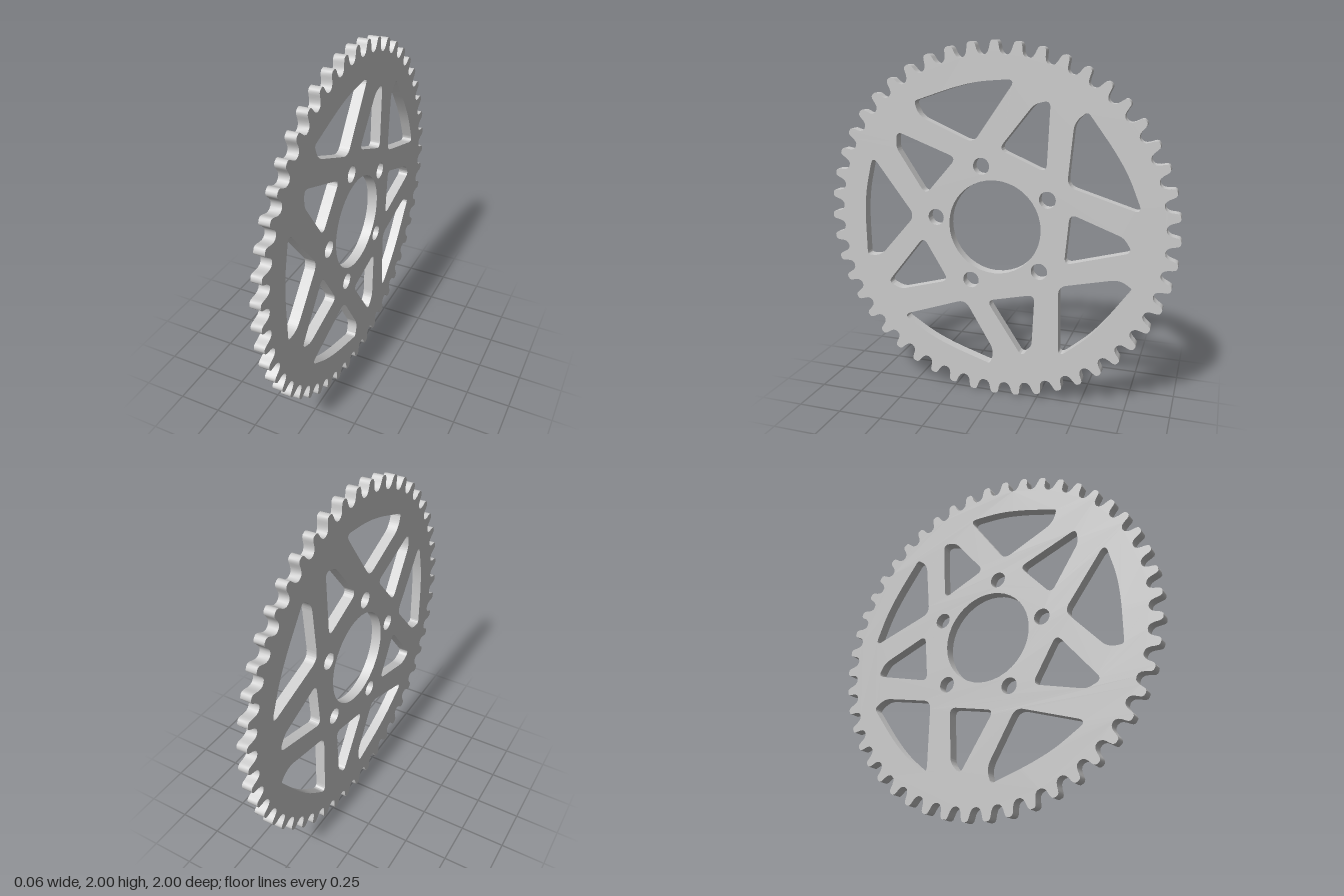
import * as THREE from 'three';
import { toCreasedNormals } from 'three/addons/utils/BufferGeometryUtils.js';

const THICKNESS = 0.058;
const TEETH = 48;
const ARMS = 5;

// Closed path through [x, y, cut] corners, each rounded off by its cut distance
function roundedPath(corners, angle) {
  const pts = corners.map(([x, y]) => new THREE.Vector2(x, y).rotateAround(new THREE.Vector2(), angle));
  const n = pts.length;
  const path = new THREE.Path();
  for (let i = 0; i < n; i++) {
    const p = pts[i], cut = corners[i][2];
    const toward = (q) => p.clone().add(q.clone().sub(p).setLength(cut));
    const a = toward(pts[(i + n - 1) % n]);
    const b = toward(pts[(i + 1) % n]);
    if (i === 0) path.moveTo(a.x, a.y);
    else path.lineTo(a.x, a.y);
    path.quadraticCurveTo(p.x, p.y, b.x, b.y);
  }
  path.closePath();
  return path;
}

function circlePath(x, y, r) {
  const path = new THREE.Path();
  path.absarc(x, y, r, 0, Math.PI * 2, true);
  return path;
}

// Toothed rim: half-tooth profile as [fraction of pitch, radius], mirrored and repeated
function toothedOutline() {
  const half = [[0, 1], [0.1, 0.998], [0.16, 0.99], [0.195, 0.975], [0.225, 0.957],
    [0.28, 0.94], [0.37, 0.929], [0.5, 0.925]];
  const tooth = [...half.slice(1, -1).reverse().map(([f, r]) => [-f, r]), ...half];
  const pitch = (Math.PI * 2) / TEETH;
  const pts = [];
  for (let i = 0; i < TEETH; i++) {
    for (const [f, r] of tooth) {
      const a = (i + f) * pitch;
      pts.push(new THREE.Vector2(Math.cos(a) * r, Math.sin(a) * r));
    }
  }
  return new THREE.Shape(pts);
}

export function createModel() {
  const group = new THREE.Group();
  group.name = 'sprocket';
  const material = new THREE.MeshStandardMaterial({ color: 0xcccccc });

  const shape = toothedOutline();

  // Central bore
  shape.holes.push(circlePath(0, 0, 0.264));

  // Large and small lightening windows, as corners with cut distances
  const largeWindow = [[-0.727, 0.362, 0.055], [-0.777, 0.158, 0.07], [-0.788, 0.013, 0.07],
    [-0.785, -0.228, 0.02], [-0.7, -0.228, 0.05], [-0.475, 0.03, 0.05]];
  const smallWindow = [[-0.576, 0.416, 0.03], [-0.571, 0.507, 0.04],
    [-0.217, 0.375, 0.045], [-0.405, 0.158, 0.045]];

  for (let i = 0; i < ARMS; i++) {
    const turn = (i * Math.PI * 2) / ARMS;
    shape.holes.push(roundedPath(largeWindow, turn), roundedPath(smallWindow, turn));
    // Bolt hole
    const a = turn + THREE.MathUtils.degToRad(102.4);
    shape.holes.push(circlePath(Math.cos(a) * 0.345, Math.sin(a) * 0.345, 0.046));
  }

  // Plate, turned so its axle runs along x
  let geometry = new THREE.ExtrudeGeometry(shape, { depth: THICKNESS, bevelEnabled: false, curveSegments: 20 });
  geometry.translate(0, 0, -THICKNESS / 2);
  geometry.rotateY(Math.PI / 2);
  geometry.translate(0, 1, 0);
  geometry = toCreasedNormals(geometry, THREE.MathUtils.degToRad(40));

  const plate = new THREE.Mesh(geometry, material);
  plate.name = 'toothedPlate';
  group.add(plate);
  return group;
}
